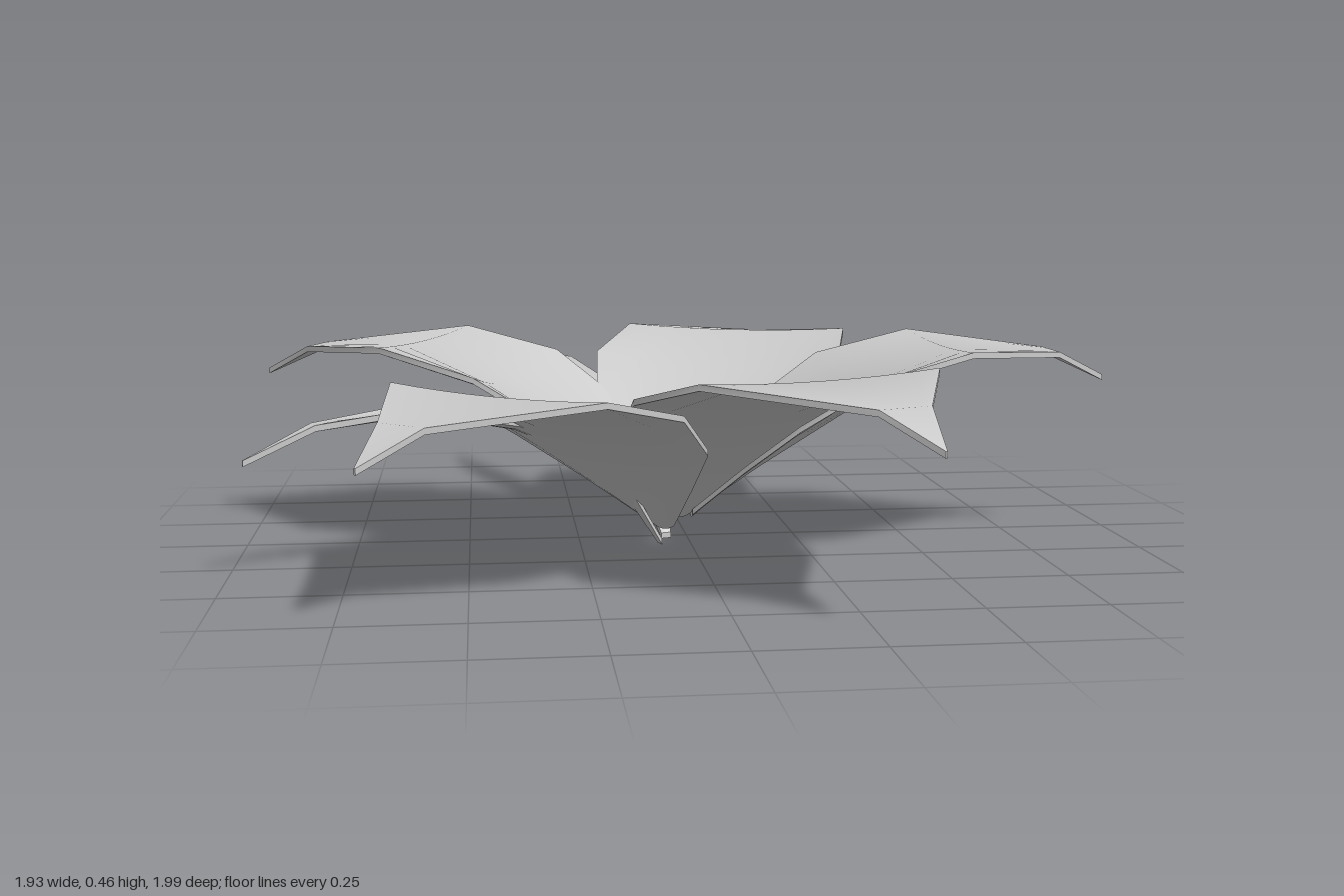
import * as THREE from 'three';

const THICKNESS = 0.013;
const material = new THREE.MeshStandardMaterial({ color: 0xcccccc });

// Rows along a leaf: [distance from base, half width, height of midrib, rise of the edges]
const PETAL_ROWS = [
  [0, 0.03, 0.078, 0.01],
  [0.1, 0.15, 0.172, 0.03],
  [0.2, 0.26, 0.257, 0.048],
  [0.35, 0.305, 0.36, 0.043],
  [0.57, 0.282, 0.45, 0.01],
  [0.84, 0.06, 0.435, 0],
  [0.965, 0.002, 0.375, 0],
];
const SEPAL_ROWS = [
  [0, 0.012, 0.015, 0],
  [0.09, 0.035, 0.14, 0.01],
  [0.22, 0.045, 0.24, 0.012],
  [0.37, 0.046, 0.305, 0.012],
  [0.6, 0.04, 0.352, 0.008],
  [0.84, 0.02, 0.337, 0],
  [1, 0.002, 0.273, 0],
];

// A thin sheet bent to the rows; box faces keep the rim sharp and the blade smooth
function leafGeometry(rows, columns) {
  const last = rows.length - 1;
  const geometry = new THREE.BoxGeometry(2, 1, 1, columns, 1, last);
  const p = geometry.attributes.position;
  for (let i = 0; i < p.count; i++) {
    const u = p.getX(i);
    const [s, halfWidth, height, rise] = rows[Math.round((p.getZ(i) + 0.5) * last)];
    const y = height + rise * u * u + (p.getY(i) - 0.5) * THICKNESS;
    p.setXYZ(i, u * halfWidth, y, s);
  }
  geometry.computeVertexNormals();
  return geometry;
}

// Places a leaf from its base (x, y, z) towards its tip (x, z); drop is its downward tilt
function addLeaf(group, name, geometry, length, [bx, by, bz], [tx, tz], drop) {
  const dx = tx - bx, dz = tz - bz;
  const leaf = new THREE.Mesh(geometry, material);
  leaf.name = name;
  leaf.rotation.order = 'YXZ';
  leaf.rotation.set(drop, Math.atan2(dx, dz), 0);
  leaf.position.set(bx, by, bz);
  leaf.scale.z = Math.hypot(dx, dz) / length;
  group.add(leaf);
}

export function createModel() {
  const flower = new THREE.Group();
  flower.name = 'flower';

  // Five broad petals
  const petal = leafGeometry(PETAL_ROWS, 8);
  [
    [[0, 0, 0.095], [0.96, 0.08], 0],
    [[-0.02, 0, 0.045], [0.32, -0.855], 0.028],
    [[-0.05, 0, 0.05], [-0.97, -0.28], 0],
    [[-0.06, -0.03, 0.08], [-0.69, 0.8], 0.035],
    [[-0.025, 0, 0.1], [0.345, 0.985], 0.023],
  ].forEach(([base, tip, drop], i) =>
    addLeaf(flower, `petal${i + 1}`, petal, 0.965, base, tip, drop));

  // Two narrow sepals below the petals
  const sepal = leafGeometry(SEPAL_ROWS, 4);
  [
    [[-0.05, 0, 0.03], [-0.42, -1], 0],
    [[-0.07, 0, 0.09], [-0.95, 0.38], 0.015],
  ].forEach(([base, tip, drop], i) =>
    addLeaf(flower, `sepal${i + 1}`, sepal, 1, base, tip, drop));

  return flower;
}
